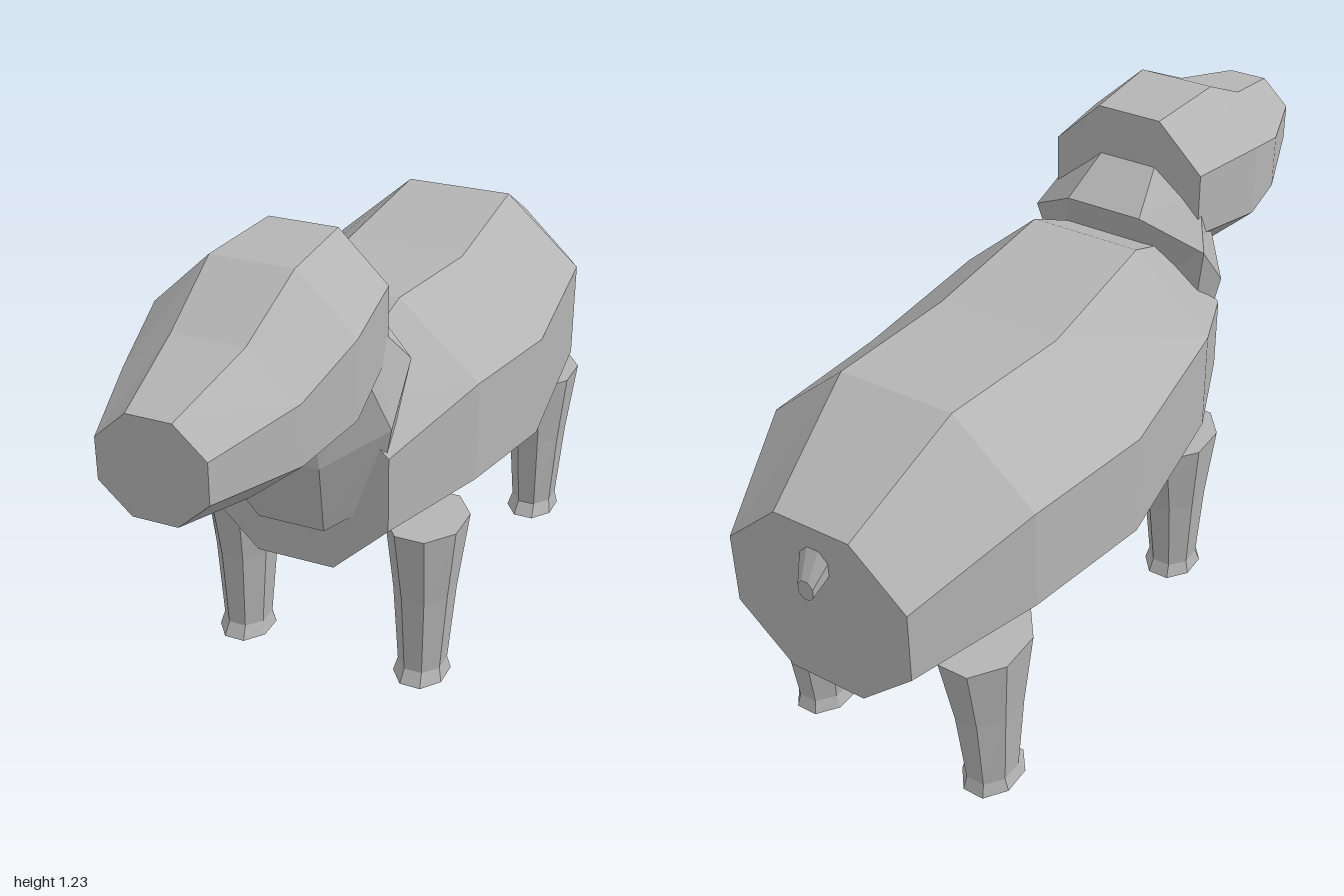
import * as THREE from 'three';

const clay = new THREE.MeshStandardMaterial({ color: 0xb4b4b4, flatShading: true });
clay.name = 'clay grey';

// Closed octagonal loft. Each ring: [y, z, halfWidth, upY, upZ], centred on x = cx.
// The rings advance along (x axis) x (up vector).
function loft(name, rings, cx = 0) {
  const N = 8, R = 1 / Math.cos(Math.PI / N), positions = [];
  const loops = rings.map(([y, z, w, uy, uz]) => Array.from({ length: N }, (_, k) => {
    const a = (k + 0.5) * 2 * Math.PI / N, c = Math.cos(a) * R, s = Math.sin(a) * R;
    return [cx + w * c, y + uy * s, z + uz * s];
  }));
  const tri = (...pts) => pts.forEach(p => positions.push(...p));
  for (let i = 0; i < loops.length - 1; i++) {
    for (let k = 0; k < N; k++) {
      const a = loops[i], b = loops[i + 1], n = (k + 1) % N;
      tri(a[k], a[n], b[n]);
      tri(a[k], b[n], b[k]);
    }
  }
  const first = loops[0], last = loops[loops.length - 1];
  for (let k = 1; k < N - 1; k++) {
    tri(first[0], first[k + 1], first[k]);
    tri(last[0], last[k], last[k + 1]);
  }
  const geometry = new THREE.BufferGeometry();
  geometry.setAttribute('position', new THREE.Float32BufferAttribute(positions, 3));
  geometry.computeVertexNormals();
  const mesh = new THREE.Mesh(geometry, clay);
  mesh.name = name;
  return mesh;
}

// Upright ring from its bottom and top heights
const upright = ([z, low, high, w]) => [(low + high) / 2, z, w, (high - low) / 2, 0];

// Tilted ring from its lower-front and upper-rear points
const tilted = ([y0, z0, y1, z1, w]) =>
  [(y0 + y1) / 2, (z0 + z1) / 2, w, (y1 - y0) / 2, (z1 - z0) / 2];

// Level ring from its rear and front limits, offset sideways by the leg
const level = ([y, back, front, w]) => [y, (back + front) / 2, w, 0, (back - front) / 2];

export function createModel() {
  const model = new THREE.Group();
  model.name = 'animal';

  // Barrel-shaped body, rump to chest
  model.add(loft('body', [
    [-0.965, 0.39, 0.83, 0.235],
    [-0.66, 0.365, 0.985, 0.35],
    [-0.27, 0.30, 0.95, 0.38],
    [0.115, 0.365, 0.99, 0.35],
    [0.395, 0.395, 0.86, 0.24],
  ].map(upright)));

  // Short neck leaning forward out of the chest
  model.add(loft('neck', [
    [0.505, 0.415, 0.80, 0.29, 0.205],
    [0.705, 0.47, 1.02, 0.203, 0.245],
    [0.90, 0.46, 1.11, 0.33, 0.18],
  ].map(tilted)));

  // Head tapering to a blunt muzzle
  model.add(loft('head', [
    [0.32, 0.83, 1.23, 0.205],
    [0.565, 0.775, 1.23, 0.24],
    [0.76, 0.79, 1.135, 0.205],
    [1.0, 0.845, 1.075, 0.125],
  ].map(upright)));

  // Stub tail
  model.add(loft('tail', [
    [-1.0, 0.66, 0.71, 0.02],
    [-0.95, 0.705, 0.80, 0.045],
  ].map(upright)));

  // Legs with flared feet
  const legs = {
    front: [[0, 0.105, 0.27, 0.066], [0.035, 0.12, 0.25, 0.057],
      [0.25, 0.095, 0.26, 0.072], [0.45, 0.05, 0.29, 0.093]],
    back: [[0, -0.79, -0.615, 0.066], [0.035, -0.78, -0.64, 0.057],
      [0.25, -0.805, -0.62, 0.072], [0.45, -0.845, -0.59, 0.093]],
  };
  for (const [end, rings] of Object.entries(legs)) {
    for (const side of [1, -1]) {
      model.add(loft(`${end}${side > 0 ? 'Left' : 'Right'}Leg`, rings.map(level), side * 0.25));
    }
  }
  return model;
}
